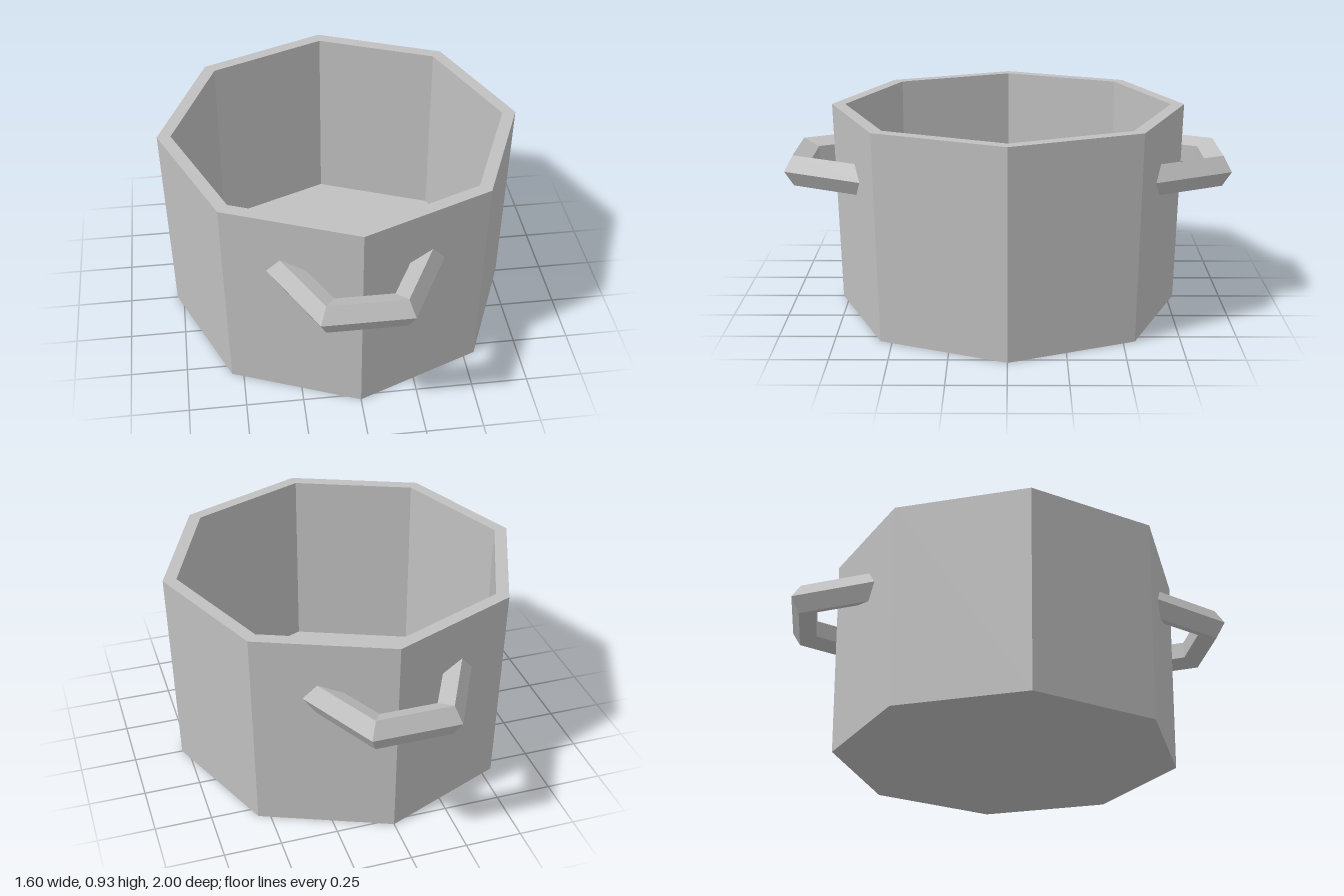
import * as THREE from 'three';

const metal = new THREE.MeshStandardMaterial({ color: 0xc0c0c0, flatShading: true });
metal.name = 'greyMetal';

// Angular bar with a five-sided section, bent into a trapezoid; ends sit inside the wall
function handleGeometry() {
  // section corners at the bend: x, height from the bar's centre, z
  const section = [
    [0.19, 0, 1.0], [0.165, 0.07, 0.963], [0.123, 0.04, 0.887],
    [0.123, -0.04, 0.887], [0.165, -0.07, 0.963],
  ];
  const bend = (side) => section.map(([x, y, z]) => [side * x, y, z]);
  const end = (side) => section.map(([x, y, z]) => {
    const t = (z - 0.77 + 0.414 * x) / 0.789;
    return [side * (x + 0.51 * t), y, z - t];
  });
  const rings = [end(-1), bend(-1), bend(1), end(1)];
  const n = section.length;
  const index = [];
  for (let i = 0; i < rings.length - 1; i++) {
    for (let j = 0; j < n; j++) {
      const a = i * n + j, b = i * n + (j + 1) % n;
      index.push(a, a + n, b, b, a + n, b + n);
    }
  }
  const geometry = new THREE.BufferGeometry();
  geometry.setAttribute('position', new THREE.Float32BufferAttribute(rings.flat(2), 3));
  geometry.setIndex(index);
  geometry.computeVertexNormals();
  return geometry;
}

export function createModel() {
  const model = new THREE.Group();
  model.name = 'cookingPot';

  // Octagonal pot: base, outer wall, rim, inner wall, floor
  const profile = [[0, 0], [0.78, 0], [0.8, 0.93], [0.74, 0.93], [0.74, 0.06], [0, 0.06]]
    .map(([r, y]) => new THREE.Vector2(r, y));
  const pot = new THREE.Mesh(new THREE.LatheGeometry(profile, 8), metal);
  pot.name = 'pot';
  model.add(pot);

  // Front and back handles
  const geometry = handleGeometry();
  for (const [name, turn] of [['frontHandle', 0], ['backHandle', Math.PI]]) {
    const handle = new THREE.Mesh(geometry, metal);
    handle.name = name;
    handle.position.set(-0.007, 0.66, 0);
    handle.rotation.y = turn;
    model.add(handle);
  }
  return model;
}
